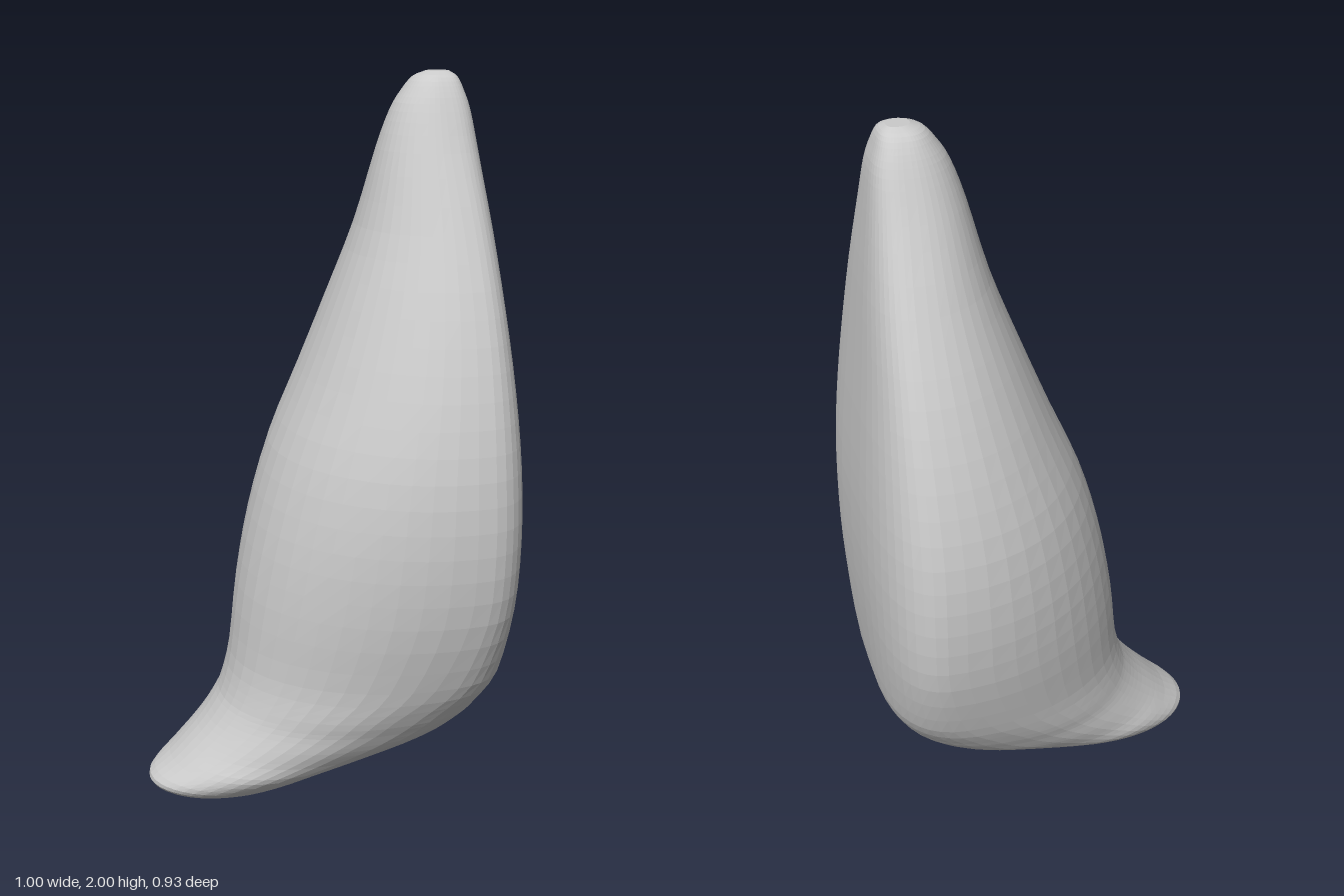
import * as THREE from 'three';

// Horizontal sections: height, left edge x, right edge x, x of widest point, half depth
const SECTIONS = [
  [0, -0.42, -0.22, -0.32, 0.09],
  [0.02, -0.485, -0.13, -0.28, 0.145],
  [0.05, -0.5, -0.03, -0.25, 0.19],
  [0.1, -0.44, 0.07, -0.18, 0.24],
  [0.15, -0.39, 0.23, -0.08, 0.27],
  [0.2, -0.345, 0.36, 0.0, 0.3],
  [0.25, -0.31, 0.42, 0.07, 0.325],
  [0.3, -0.285, 0.45, 0.12, 0.35],
  [0.4, -0.26, 0.48, 0.22, 0.39],
  [0.6, -0.235, 0.495, 0.29, 0.445],
  [0.8, -0.195, 0.5, 0.3, 0.466],
  [1.0, -0.135, 0.495, 0.3, 0.455],
  [1.2, -0.05, 0.48, 0.31, 0.41],
  [1.4, 0.03, 0.46, 0.32, 0.34],
  [1.6, 0.105, 0.44, 0.32, 0.25],
  [1.8, 0.16, 0.415, 0.31, 0.155],
  [1.9, 0.195, 0.4, 0.31, 0.11],
  [1.95, 0.225, 0.385, 0.31, 0.085],
  [1.985, 0.255, 0.37, 0.31, 0.06],
  [2.0, 0.29, 0.35, 0.32, 0.03],
];
const SIDES = 48;
const STEPS = 3; // rings per section

// Smooth curve through two columns of the section list, against height
function track(a, b) {
  const points = SECTIONS.map((s) => new THREE.Vector3(s[a], s[0], s[b]));
  return new THREE.CatmullRomCurve3(points, false, 'catmullrom', 0.5);
}

function bodyGeometry() {
  const edges = track(1, 2);
  const widest = track(3, 4);
  const rings = (SECTIONS.length - 1) * STEPS;
  const positions = [];
  const index = [];

  for (let i = 0; i <= rings; i++) {
    const e = edges.getPoint(i / rings);
    const w = widest.getPoint(i / rings);
    // The +x half is squarer, giving a flat back with rounded corners
    const power = 2 + Math.min(1, Math.max(0, e.y) / 0.4);
    for (let j = 0; j < SIDES; j++) {
      const angle = (j / SIDES) * Math.PI * 2;
      const c = Math.cos(angle);
      const s = Math.sin(angle);
      const n = 2 / (c > 0 ? power : 2);
      const reach = c > 0 ? e.z - w.x : w.x - e.x;
      positions.push(
        w.x + Math.sign(c) * Math.abs(c) ** n * reach,
        e.y,
        Math.sign(s) * Math.abs(s) ** n * w.z
      );
    }
  }
  for (let i = 0; i < rings; i++) {
    for (let j = 0; j < SIDES; j++) {
      const a = i * SIDES + j;
      const b = i * SIDES + ((j + 1) % SIDES);
      index.push(a, a + SIDES, b, b, a + SIDES, b + SIDES);
    }
  }
  // Flat caps under the foot and on the tip
  const top = rings * SIDES;
  for (let j = 1; j < SIDES - 1; j++) {
    index.push(0, j, j + 1, top, top + j + 1, top + j);
  }

  const geometry = new THREE.BufferGeometry();
  geometry.setAttribute('position', new THREE.Float32BufferAttribute(positions, 3));
  geometry.setIndex(index);
  geometry.computeVertexNormals();
  return geometry;
}

export function createModel() {
  const group = new THREE.Group();
  const material = new THREE.MeshStandardMaterial({ color: 0xcccccc, flatShading: true });
  const body = new THREE.Mesh(bodyGeometry(), material);
  body.name = 'body';
  group.add(body);
  return group;
}
